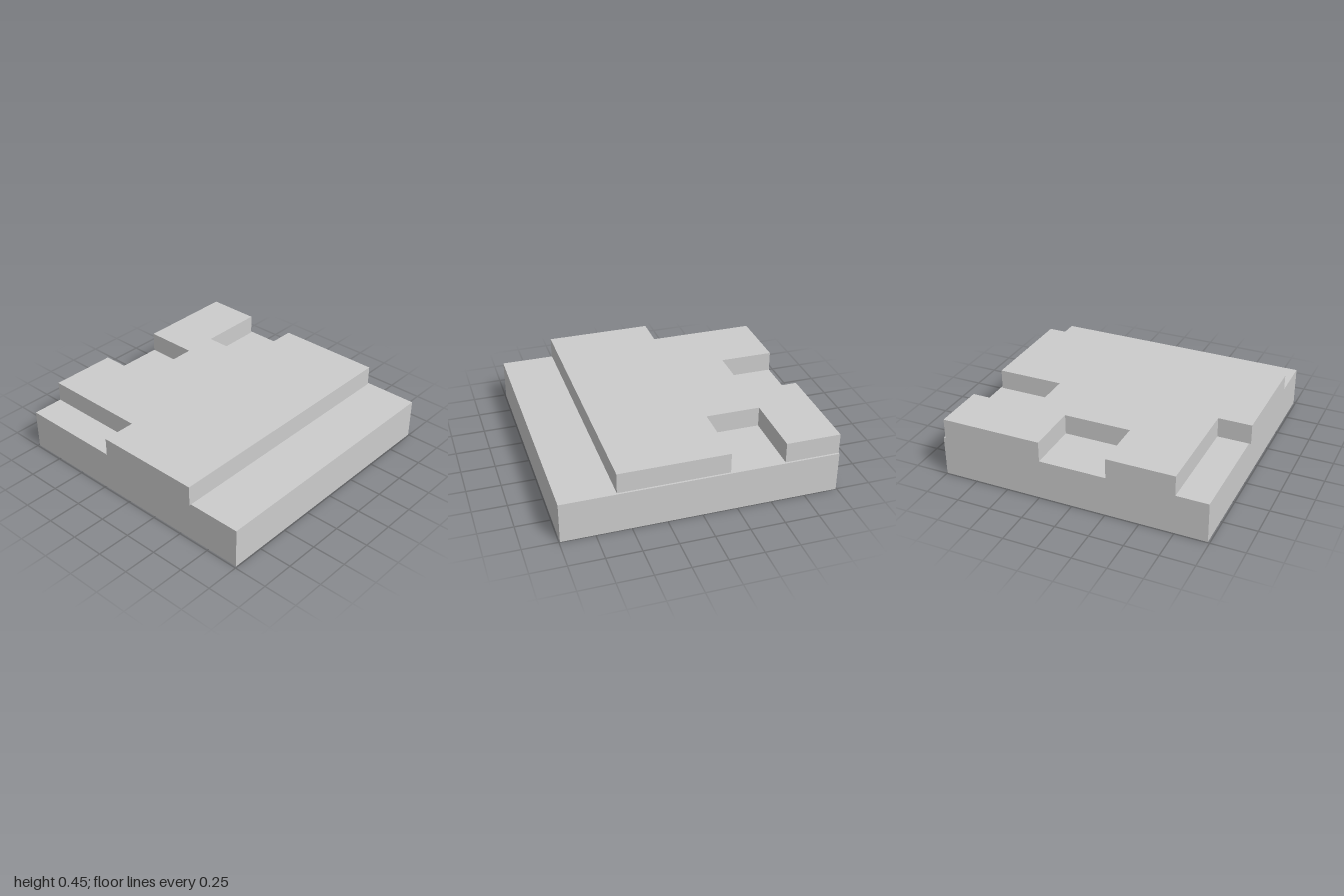
import * as THREE from 'three';

const W = 1.986;       // plan size of the base
const H = 0.298;       // base height
const SHIFT = 0.007;   // base sits slightly back, slab slightly forward

export function createModel() {
  const model = new THREE.Group();
  const material = new THREE.MeshStandardMaterial({ color: 0xcccccc, flatShading: true });
  const thin = material.clone();
  thin.side = THREE.DoubleSide;

  const add = (name, geometry, mat, parent = model) => {
    const mesh = new THREE.Mesh(geometry, mat);
    mesh.name = name;
    parent.add(mesh);
    return mesh;
  };

  // Base: solid upper half over a thin skirt that is open underneath
  const base = new THREE.Group();
  base.name = 'base';
  base.position.z = -SHIFT;
  model.add(base);
  add('basePlate', new THREE.BoxGeometry(W, H / 2, W), material, base).position.y = H * 0.75;
  for (let i = 0; i < 4; i++) {
    const wall = new THREE.PlaneGeometry(W, H / 2);
    wall.translate(0, H / 4, W / 2).rotateY(i * Math.PI / 2);
    add('skirtWall', wall, thin, base);
  }

  // Raised slab: notched outline in plan, as [x, z]
  const l = -W / 2, r = 0.596, back = SHIFT - W / 2, front = SHIFT + W / 2;
  const outline = [
    [r, front], [-0.199, front], [-0.199, 0.752], [l, 0.752],
    [l, 0.255], [-0.596, 0.255], [-0.596, -0.241], [l, -0.241],
    [l, back], [-0.596, back], [-0.596, -0.49], [-0.199, -0.49],
    [-0.199, back], [r, back],
  ];
  const shape = new THREE.Shape(outline.map(([x, z]) => new THREE.Vector2(x, -z)));
  const slab = new THREE.ExtrudeGeometry(shape, { depth: 0.149, bevelEnabled: false });
  slab.rotateX(-Math.PI / 2);
  add('raisedSlab', slab, material).position.y = H;

  return model;
}
